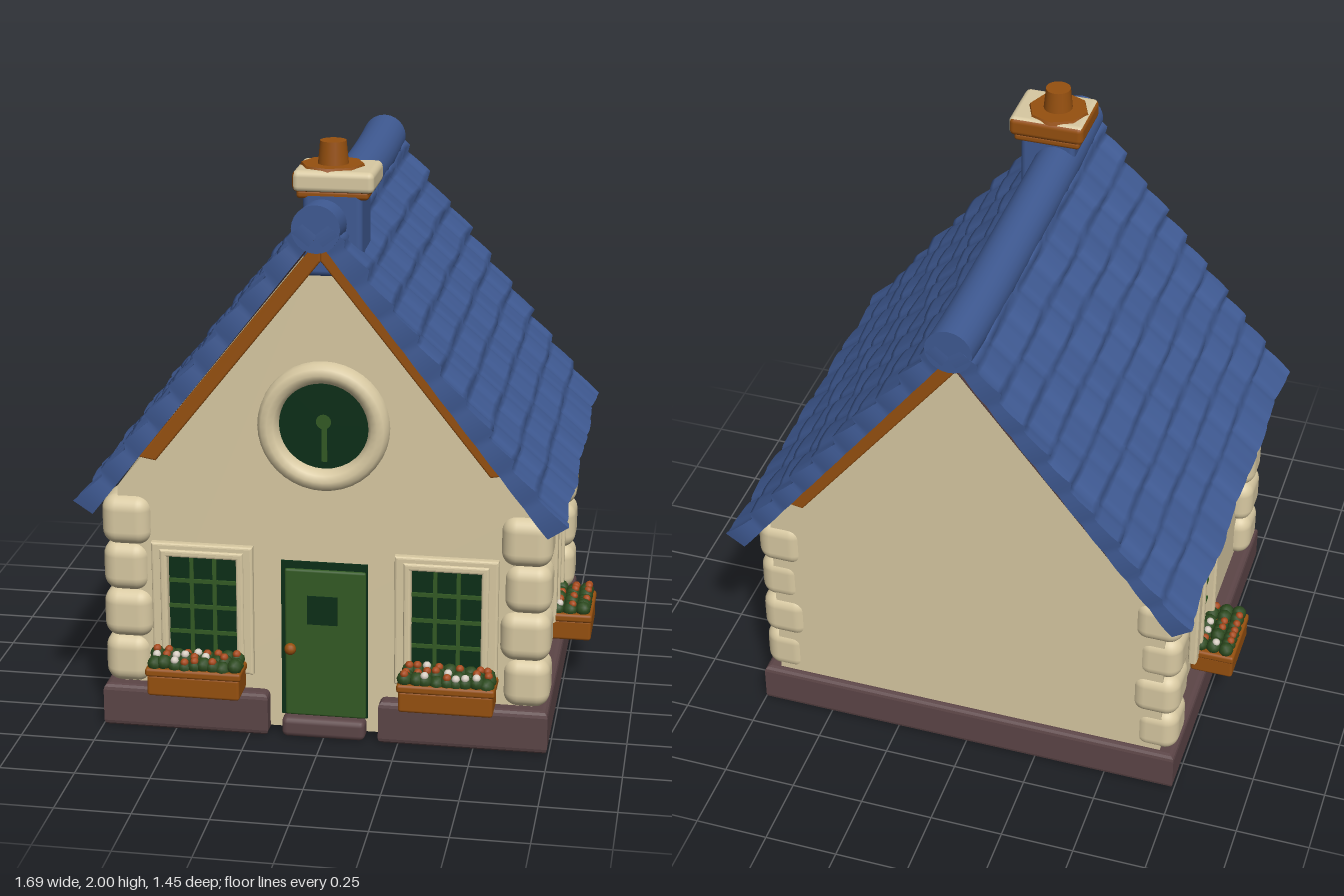
import * as THREE from 'three';
import { RoundedBoxGeometry } from 'three/addons/geometries/RoundedBoxGeometry.js';

const paint = (name, color) => Object.assign(new THREE.MeshStandardMaterial({ color }), { name });
const M = {
  plaster: paint('cream plaster', 0xd8c9a2),
  roof: paint('blue roof tile', 0x3f5a93),
  stone: paint('purple brown stone', 0x5c4547),
  wood: paint('orange brown wood', 0x96500f),
  door: paint('door green', 0x335a24),
  glass: paint('dark green glass', 0x0b2e17),
  leaf: paint('leaf green', 0x2c4a1e),
  petal: paint('orange petal', 0xa84a1a),
  pale: paint('pale petal', 0xd9d0c4),
};

let seed = 7;
const rnd = () => (seed = (seed * 16807) % 2147483647) / 2147483647;

function add(parent, name, geo, mat, x = 0, y = 0, z = 0) {
  const m = new THREE.Mesh(geo, mat);
  m.name = name;
  m.position.set(x, y, z);
  parent.add(m);
  return m;
}
const rbox = (w, h, d, r = 0.015, s = 2) => new RoundedBoxGeometry(w, h, d, s, r);
const box = (w, h, d) => new THREE.BoxGeometry(w, h, d);
const poly = pts => new THREE.Shape(pts.map(p => new THREE.Vector2(...p)));
const rect = (w, h) => [[-w / 2, -h / 2], [w / 2, -h / 2], [w / 2, h / 2], [-w / 2, h / 2]];
const extrude = (shape, depth, b = 0) => new THREE.ExtrudeGeometry(shape, {
  depth: depth - 2 * b, bevelEnabled: b > 0, bevelSize: b, bevelThickness: b, bevelOffset: -b, bevelSegments: 3,
}).translate(0, 0, b);

// Framed window with glazing bars; local +z points out of the wall
function windowUnit(w, h, gw, gh, cols, rows) {
  const g = new THREE.Group();
  g.name = 'window';
  const frame = poly(rect(w, h));
  frame.holes.push(poly(rect(gw, gh)));
  add(g, 'windowFrame', extrude(frame, 0.032, 0.008), M.plaster);
  const lip = poly(rect(gw + 0.05, gh + 0.05));
  lip.holes.push(poly(rect(gw, gh)));
  add(g, 'windowLip', extrude(lip, 0.04, 0.008), M.plaster);
  add(g, 'windowGlass', box(gw, gh, 0.008), M.glass, 0, 0, 0.004);
  for (let i = 1; i < cols; i++)
    add(g, 'glazingBar', box(0.013, gh, 0.009), M.door, (i / cols - 0.5) * gw, 0, 0.01);
  for (let i = 1; i < rows; i++)
    add(g, 'glazingBar', box(gw, 0.013, 0.009), M.door, 0, (i / rows - 0.5) * gh, 0.01);
  return g;
}

// Planter with leaves and blossoms; its back lies on local z = 0
function flowerBox(w, d) {
  const g = new THREE.Group();
  g.name = 'flowerBox';
  add(g, 'planter', rbox(w, 0.075, d, 0.01), M.wood, 0, 0.0375, d / 2);
  add(g, 'planterRim', rbox(w + 0.012, 0.03, d + 0.006, 0.01), M.wood, 0, 0.083, d / 2);
  const leaf = new THREE.IcosahedronGeometry(0.026, 1), bloom = new THREE.IcosahedronGeometry(0.014, 1);
  const n = Math.round(w / 0.035);
  for (let i = 0; i < n; i++) for (let j = 0; j < 3; j++) {
    const x = ((i + 0.5) / n - 0.5) * (w - 0.01) + (rnd() - 0.5) * 0.01;
    const z = d * (0.2 + 0.3 * j);
    const y = 0.1 + rnd() * 0.014;
    add(g, 'leaves', leaf, M.leaf, x, y, z);
    if (rnd() < 0.6) add(g, 'blossom', bloom, rnd() < 0.72 ? M.petal : M.pale, x, y + 0.02, z + 0.008);
  }
  return g;
}

// One roof slope: a slab whose top is stepped into staggered tile rows
function roofSlope() {
  const L = 1.25, T = 0.05, D = 1.44, rows = 10;
  const geo = new THREE.BoxGeometry(L, T, D, rows * 8, 1, 72);
  const p = geo.attributes.position;
  for (let i = 0; i < p.count; i++) {
    let x = p.getX(i), y = p.getY(i), z = p.getZ(i);
    const u = (x / L + 0.5) * rows, row = Math.min(Math.floor(u + 1e-4), rows - 1), f = Math.min(u - row, 1);
    if (y > 0) {
      const joint = Math.abs(Math.sin((z / 0.15 + (row % 2) * 0.5 + 0.13 * Math.sin(row * 5)) * Math.PI));
      y += 0.024 * f - 0.008 * Math.pow(1 - joint, 3) + 0.004 * Math.sin(z * 17 + row * 2.3);
      x += 0.007 * Math.sin(z * 13 + row * 1.9) * f;
    }
    z += Math.sign(z) * 0.006 * Math.sin(f * Math.PI) * Math.pow(Math.abs(z) / 0.72, 8);
    y += 0.012 * Math.pow(z / 0.72, 4) * (1 - u / rows);
    p.setXYZ(i, x, y, z);
  }
  geo.computeVertexNormals();
  geo.translate(L / 2, -T / 2, 0).rotateZ(-Math.atan(1.26)).translate(0, 1.8, 0);
  return geo;
}

export function createModel() {
  seed = 7;
  const house = new THREE.Group();
  house.name = 'cottage';

  // Stone base with a notch for the step
  const plan = poly([[-0.745, 0.63], [-0.745, -0.63], [-0.185, -0.63], [-0.185, -0.55],
    [0.185, -0.55], [0.185, -0.63], [0.745, -0.63], [0.745, 0.63]]);
  add(house, 'stoneBase', extrude(plan, 0.15, 0.02).rotateX(-Math.PI / 2), M.stone);
  add(house, 'doorStep', rbox(0.28, 0.07, 0.13, 0.02), M.stone, 0, 0.036, 0.565);

  // Walls with gables
  const gable = poly([[-0.69, 0.02], [0.69, 0.02], [0.69, 0.84], [0, 1.71], [-0.69, 0.84]]);
  const wallParts = extrude(gable, 1.185);
  add(house, 'walls', wallParts, M.plaster, 0, 0, -0.605);

  // Rounded corner stones
  for (const sx of [-1, 1]) for (const z of [0.527, -0.53]) for (let i = 0; i < 4; i++) {
    const w = 0.155 + (i % 2) * 0.012;
    add(house, 'cornerStone', rbox(w, 0.172, w + 0.008, 0.05, 4), M.plaster,
      sx * (0.745 - w / 2), 0.232 + i * 0.164, z);
  }

  // Tiled roof and ridge
  const slope = roofSlope();
  const slopeMats = [M.roof, M.roof, M.roof, M.stone, M.roof, M.roof];
  for (const turn of [0, Math.PI]) add(house, 'roofSlope', slope, slopeMats).rotation.y = turn;
  const ridge = new THREE.CylinderGeometry(0.077, 0.077, 1.45, 24, 12).rotateX(Math.PI / 2);
  const rp = ridge.attributes.position;
  for (let i = 0; i < rp.count; i++) rp.setY(i, rp.getY(i) + 0.02 * Math.pow(rp.getZ(i) / 0.72, 4));
  add(house, 'roofRidge', ridge, M.roof, 0, 1.745, 0);

  // Sloping boards under the gable edges
  const board = sx => extrude(poly([[0, 1.72], [0.6 * sx, 0.965], [0.545 * sx, 0.955], [0, 1.642]]), 0.07, 0.006);
  for (const sx of [-1, 1]) {
    add(house, 'frontGableBoard', board(sx), M.wood, 0, 0, 0.57);
    add(house, 'backGableBoard', board(sx), sx > 0 ? M.wood : M.stone, 0, 0, -0.66);
  }

  // Door
  add(house, 'doorway', box(0.288, 0.545, 0.016), M.glass, 0, 0.342, 0.58);
  add(house, 'doorPanel', rbox(0.27, 0.52, 0.03, 0.008), M.door, 0.004, 0.33, 0.583);
  add(house, 'doorWindow', box(0.1, 0.1, 0.008), M.glass, -0.005, 0.45, 0.598);
  add(house, 'doorKnob', new THREE.SphereGeometry(0.02, 12, 8), M.wood, -0.112, 0.31, 0.605);

  // Round gable window
  const ring = [[0.215, 0], [0.213, 0.03], [0.2, 0.045], [0.18, 0.05], [0.16, 0.042], [0.148, 0.025], [0.146, 0]];
  add(house, 'roundWindowFrame', new THREE.LatheGeometry(ring.map(q => new THREE.Vector2(...q)), 40)
    .rotateX(Math.PI / 2), M.plaster, 0, 1.085, 0.58);
  add(house, 'roundWindowGlass', new THREE.CircleGeometry(0.15, 32), M.glass, 0, 1.09, 0.586);
  add(house, 'roundWindowStem', box(0.018, 0.13, 0.006), M.door, 0.002, 1.03, 0.588);
  add(house, 'roundWindowLeaf', new THREE.CircleGeometry(0.025, 16), M.door, 0, 1.1, 0.592);

  // Front windows and flower boxes
  for (const sx of [-1, 1]) {
    const win = windowUnit(0.34, 0.45, 0.23, 0.36, 3, 4);
    win.position.set(sx * 0.405, 0.435, 0.58);
    const planter = flowerBox(0.31, 0.125);
    planter.position.set(sx * 0.418, 0.16, 0.595);
    house.add(win, planter);
  }

  // Side windows and flower boxes
  for (const sx of [-1, 1]) {
    const win = windowUnit(0.28, 0.43, 0.145, 0.34, 2, 4);
    win.position.set(sx * 0.69, 0.44, -0.1);
    const planter = flowerBox(0.235, 0.15);
    planter.position.set(sx * 0.692, 0.16, -0.085);
    win.rotation.y = planter.rotation.y = sx * Math.PI / 2;
    house.add(win, planter);
  }

  // Chimney: shaft, two-coloured cap and pot
  add(house, 'chimneyShaft', rbox(0.19, 0.28, 0.19, 0.02), M.roof, 0.03, 1.72, 0.5);
  add(house, 'chimneyCollar', rbox(0.23, 0.03, 0.2, 0.012), M.wood, 0.03, 1.845, 0.495);
  add(house, 'chimneyCap', rbox(0.26, 0.07, 0.215, 0.02, 3),
    [M.plaster, M.wood, M.plaster, M.wood, M.plaster, M.wood], 0.032, 1.885, 0.495);
  add(house, 'chimneyPlate', new THREE.CylinderGeometry(0.1, 0.105, 0.012, 8), M.wood, 0.015, 1.921, 0.49);
  add(house, 'chimneyPot', new THREE.CylinderGeometry(0.042, 0.05, 0.08, 20), M.wood, 0.018, 1.96, 0.495);
  return house;
}
